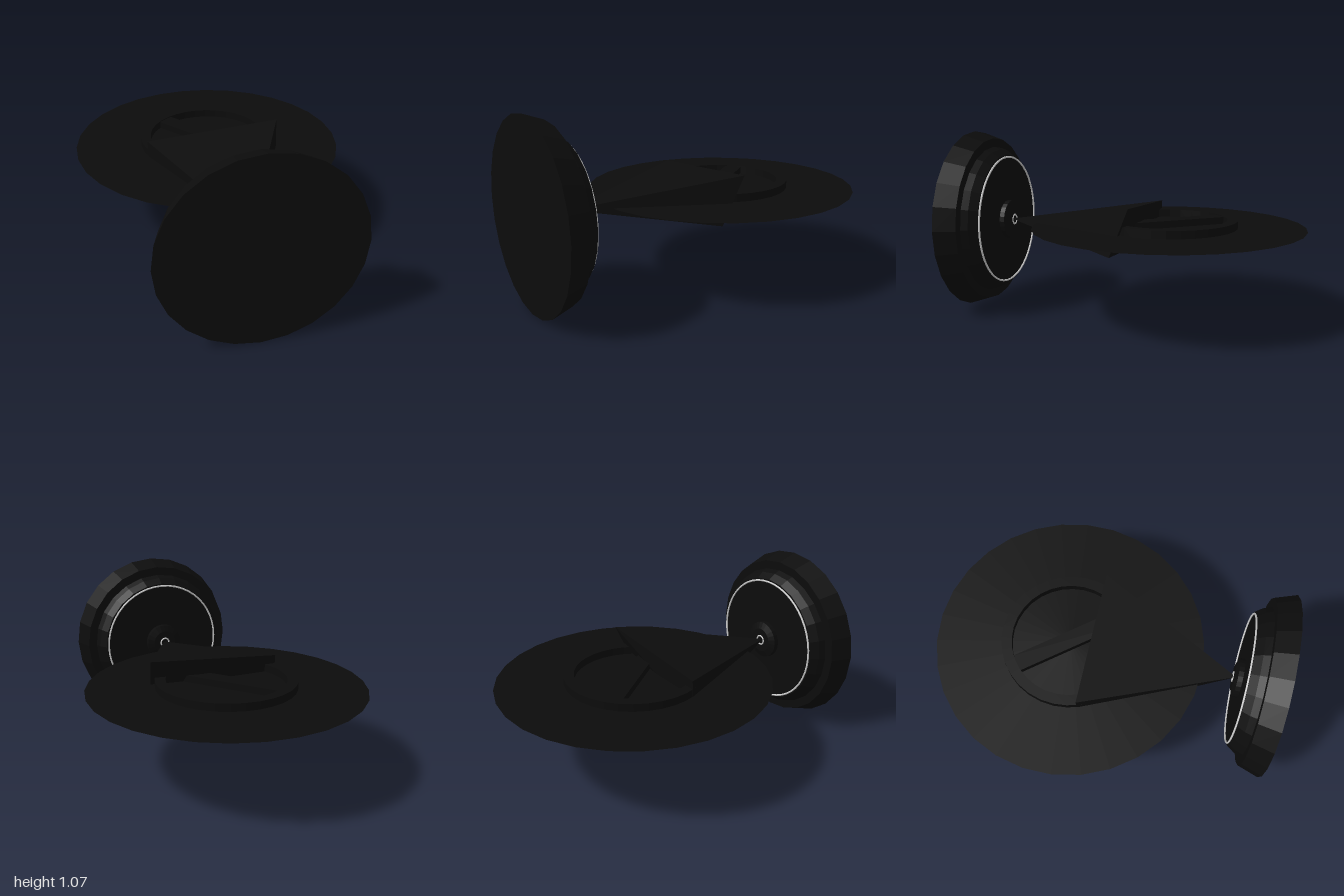
import * as THREE from 'three';

const V = (x, y) => new THREE.Vector2(x, y);

export function createModel() {
  const model = new THREE.Group();
  const black = new THREE.MeshStandardMaterial({ color: 0x0c0c0c });
  black.name = 'black';
  const blackSheet = new THREE.MeshStandardMaterial({ color: 0x0c0c0c, side: THREE.DoubleSide });
  blackSheet.name = 'blackSheet';
  const silver = new THREE.MeshStandardMaterial({ color: 0xd0d0d0 });
  silver.name = 'silver';

  const axisY = 0.533, discZ = -0.2145;

  function add(name, geometry, material, y = axisY, z = 0) {
    const mesh = new THREE.Mesh(geometry, material);
    mesh.name = name;
    mesh.position.set(0, y, z);
    model.add(mesh);
    return mesh;
  }

  // Sharp-edged turned solid
  function turned(points, sides) {
    const g = new THREE.LatheGeometry(points.map(p => V(...p)), sides).toNonIndexed();
    g.computeVertexNormals();
    return g;
  }

  // Stepped round base whose axis runs along z, with a chamfered hub at the back
  add('base', turned([
    [0, 0.797], [0.395, 0.797], [0.425, 0.84], [0.44, 0.878],
    [0.492, 0.878], [0.533, 1], [0, 1],
  ], 24).rotateX(Math.PI / 2), black);
  add('hub', turned([
    [0, 0.752], [0.075, 0.752], [0.115, 0.768], [0.115, 0.8],
  ], 24).rotateX(Math.PI / 2), black);

  // Bright trim rings
  const trim = (name, radius, thickness, z) =>
    add(name, new THREE.TorusGeometry(radius, thickness, 6, 48), silver, axisY, z);
  trim('baseTrim', 0.38, 0.006, 0.793);
  trim('hubTrim', 0.028, 0.005, 0.752);

  // Thin round sheet
  add('disc', new THREE.CircleGeometry(0.7855, 30).rotateZ(Math.PI / 2).rotateX(-Math.PI / 2),
    blackSheet, 0.535, discZ);

  // Raised ring through the disc, with a diagonal crossbar
  add('ring', turned([
    [0.34, -0.045], [0.4, -0.045], [0.4, 0.045], [0.34, 0.045], [0.34, -0.045],
  ], 32), black, 0.535, discZ);
  add('crossbar', new THREE.BoxGeometry(0.1, 0.08, 0.69), black, 0.535, discZ).rotation.y = 0.67;

  // Slightly twisted four-sided arm, tapering to a point at the hub
  const tip = [0, 0.535, 0.77];
  const [tr, tl, bl, br] = [
    [0.4, 0.687, -0.088], [-0.38, 0.63, -0.088], [-0.377, 0.41, -0.075], [0.365, 0.41, 0.03],
  ];
  const faces = [tip, tr, tl, tip, tl, bl, tip, bl, br, tip, br, tr, tr, br, bl, tr, bl, tl];
  const arm = new THREE.BufferGeometry();
  arm.setAttribute('position', new THREE.Float32BufferAttribute(faces.flat(), 3));
  arm.computeVertexNormals();
  add('arm', arm, black, 0);

  return model;
}
